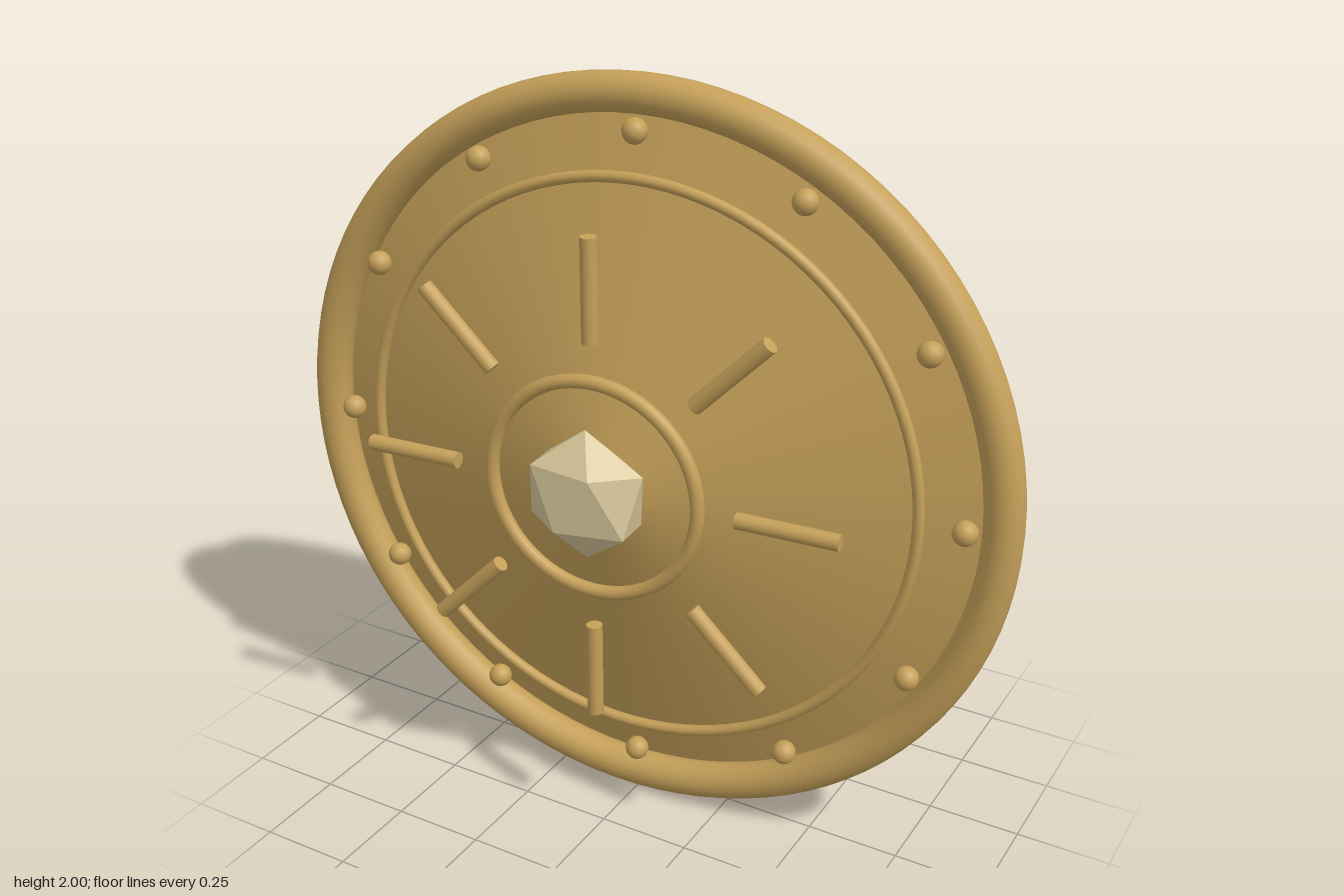
import * as THREE from 'three';

export function createModel() {
  const model = new THREE.Group();
  model.name = 'roundShield';
  const shield = new THREE.Group();
  shield.name = 'shield';
  shield.position.y = 1;
  shield.rotation.y = 0.071; // turned slightly to one side
  model.add(shield);

  const material = (name, color) => {
    const m = new THREE.MeshStandardMaterial({ color });
    m.name = name;
    return m;
  };
  const gold = material('antique gold', 0xc5a059);
  const pale = material('pale gold', 0xd8c89c);
  const leather = material('brown leather', 0x6d4c41);

  const add = (name, geometry, mat, parent = shield) => {
    const mesh = new THREE.Mesh(geometry, mat);
    mesh.name = name;
    parent.add(mesh);
    return mesh;
  };
  // Lathe turned so that its axis points forward
  const turned = (points) => new THREE.LatheGeometry(
    points.map(([r, z]) => new THREE.Vector2(r, z)), 72).rotateX(Math.PI / 2);

  // Body: back plate with softened edge, and a shallow cone in front
  add('backPlate', turned([[0, -0.1], [0.88, -0.1], [0.905, -0.1], [0.93, -0.097],
    [0.945, -0.085], [0.95, -0.07], [0.95, -0.05], [0.95, 0.04]]), gold);
  add('frontCone', turned([[0.95, 0], [0.1, 0.255], [0.06, 0.265], [0, 0.27]]), gold);

  // Raised rings
  add('rim', new THREE.TorusGeometry(0.95, 0.05, 16, 96), gold).position.z = 0.05;
  add('outerRing', new THREE.TorusGeometry(0.76, 0.015, 10, 96), gold).position.z = 0.11;

  // Rivets around the rim
  const rivet = new THREE.SphereGeometry(0.032, 16, 12);
  for (let i = 0; i < 12; i++) {
    const a = (i * Math.PI) / 6;
    add('rivet', rivet, gold).position.set(0.866 * Math.cos(a), 0.866 * Math.sin(a), 0.08);
  }

  // Sun emblem: ring, rays and central gem
  const emblem = new THREE.Group();
  emblem.name = 'sunEmblem';
  emblem.position.set(-0.004, 0.032, 0.312);
  shield.add(emblem);
  add('innerRing', new THREE.TorusGeometry(0.282, 0.018, 12, 64), gold, emblem);
  const ray = new THREE.CylinderGeometry(0.021, 0.021, 0.26, 16).translate(0, 0.512, 0);
  for (let i = 0; i < 8; i++) {
    add('ray', ray, gold, emblem).rotation.z = (i * Math.PI) / 4;
  }
  const gem = new THREE.IcosahedronGeometry(0.172, 0)
    .rotateZ(-Math.atan(2 / (1 + Math.sqrt(5)))) // stand it on one corner
    .scale(1, 1, 0.56);
  add('gem', gem, pale, emblem).position.z = 0.033;

  // Handle: two legs and a grip with mitred corners, leaning back
  const handle = new THREE.Group();
  handle.name = 'handle';
  handle.position.set(0, -0.225, -0.185);
  handle.rotation.x = -0.405;
  shield.add(handle);
  const radius = 0.053, half = 0.23, height = 0.42;
  const bend = (geometry, rule) => {
    const p = geometry.attributes.position;
    for (let i = 0; i < p.count; i++) rule(p, i);
    return geometry;
  };
  for (const side of [-1, 1]) {
    const leg = new THREE.CylinderGeometry(radius, radius, height, 24).translate(0, height / 2, 0);
    bend(leg, (p, i) => {
      if (p.getY(i) > 0.1) p.setY(i, p.getY(i) + side * p.getX(i));
    });
    add('handleLeg', leg, leather, handle).position.x = side * half;
  }
  const grip = new THREE.CylinderGeometry(radius, radius, 2 * half, 24).rotateZ(Math.PI / 2);
  bend(grip, (p, i) => p.setX(i, p.getX(i) + Math.sign(p.getX(i)) * p.getY(i)));
  add('handleGrip', grip, leather, handle).position.y = height;

  return model;
}
